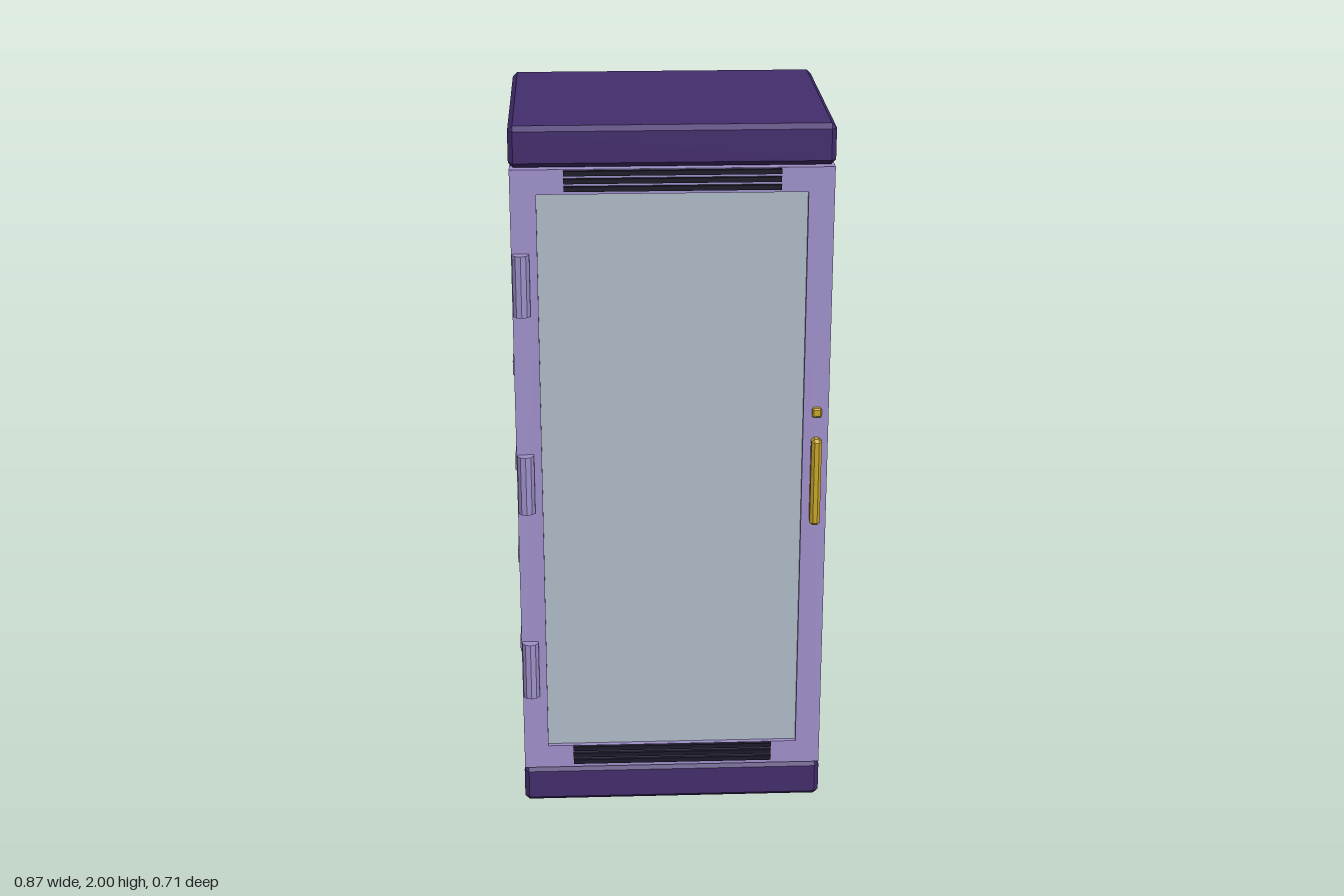
import * as THREE from 'three';
import { ConvexGeometry } from 'three/addons/geometries/ConvexGeometry.js';

const mat = (name, color) => {
  const m = new THREE.MeshStandardMaterial({ color });
  m.name = name;
  return m;
};

// Box with every edge cut at 45 degrees
function chamferBox(w, h, d, b) {
  const points = [];
  for (const x of [-1, 1]) for (const y of [-1, 1]) for (const z of [-1, 1]) {
    points.push(
      new THREE.Vector3(x * w / 2, y * (h / 2 - b), z * (d / 2 - b)),
      new THREE.Vector3(x * (w / 2 - b), y * h / 2, z * (d / 2 - b)),
      new THREE.Vector3(x * (w / 2 - b), y * (h / 2 - b), z * d / 2));
  }
  return new ConvexGeometry(points);
}

function rectPath(path, x0, y0, x1, y1) {
  path.moveTo(x0, y0);
  path.lineTo(x1, y0);
  path.lineTo(x1, y1);
  path.lineTo(x0, y1);
  path.closePath();
  return path;
}

export function createModel() {
  const group = new THREE.Group();
  group.name = 'cabinet';
  const purple = mat('dark purple', 0x432d6d);
  const lilac = mat('lilac', 0x9f90ca);
  const glass = mat('glass', 0xaebbc8);
  const black = mat('vent black', 0x1c1928);
  const gold = mat('gold', 0xc9a52c);

  const add = (name, geometry, material, x, y, z) => {
    const mesh = new THREE.Mesh(geometry, material);
    mesh.name = name;
    mesh.position.set(x, y, z);
    group.add(mesh);
    return mesh;
  };
  const box = (w, h, d) => new THREE.BoxGeometry(w, h, d);

  // Plinth and top cap
  const cap = chamferBox(0.856, 0.11, 0.68, 0.013);
  add('plinth', cap, purple, 0, 0.055, -0.017);
  add('topCap', cap, purple, 0, 1.945, -0.017);

  // Carcass with a back panel set in between two side walls
  add('carcass', box(0.76, 1.8, 0.608), purple, 0, 1, -0.024);
  for (const s of [-1, 1]) {
    add('sideWall', box(0.045, 1.8, 0.628), purple, s * 0.4025, 1, -0.034);
  }

  // Door frame and recessed pane
  const frame = rectPath(new THREE.Shape(), -0.426, 0.113, 0.426, 1.887);
  frame.holes.push(rectPath(new THREE.Path(), -0.357, 0.183, 0.357, 1.82));
  add('doorFrame', new THREE.ExtrudeGeometry(frame, { depth: 0.045, bevelEnabled: false }),
    lilac, 0, 0, 0.28);
  add('doorGlass', box(0.714, 1.637, 0.02), glass, 0, 1.0015, 0.302);

  // Vent slats above and below the pane
  for (const y of [0.155, 1.857]) {
    for (const i of [-1, 0, 1]) {
      add('ventSlat', box(0.57, 0.013, 0.013), black, 0, y + i * 0.021, 0.3295);
    }
  }

  // Hinge barrels
  for (const y of [0.435, 1.005, 1.575]) {
    const hinge = new THREE.CylinderGeometry(0.024, 0.024, 0.17, 10).toNonIndexed();
    hinge.computeVertexNormals();
    add('hinge', hinge, lilac, -0.401, y, 0.328);
  }

  // Handle and lock
  add('handle', chamferBox(0.028, 0.255, 0.036, 0.008), gold, 0.393, 1.003, 0.339);
  add('lock', chamferBox(0.026, 0.026, 0.02, 0.004), gold, 0.393, 1.203, 0.33);

  // Raised rails on both sides
  const rail = chamferBox(0.026, 0.052, 0.456, 0.007);
  for (const s of [-1, 1]) {
    for (let i = 0; i < 4; i++) {
      add('sideRail', rail, lilac, s * 0.421, 0.434 + i * 0.285, -0.044);
    }
  }
  return group;
}
